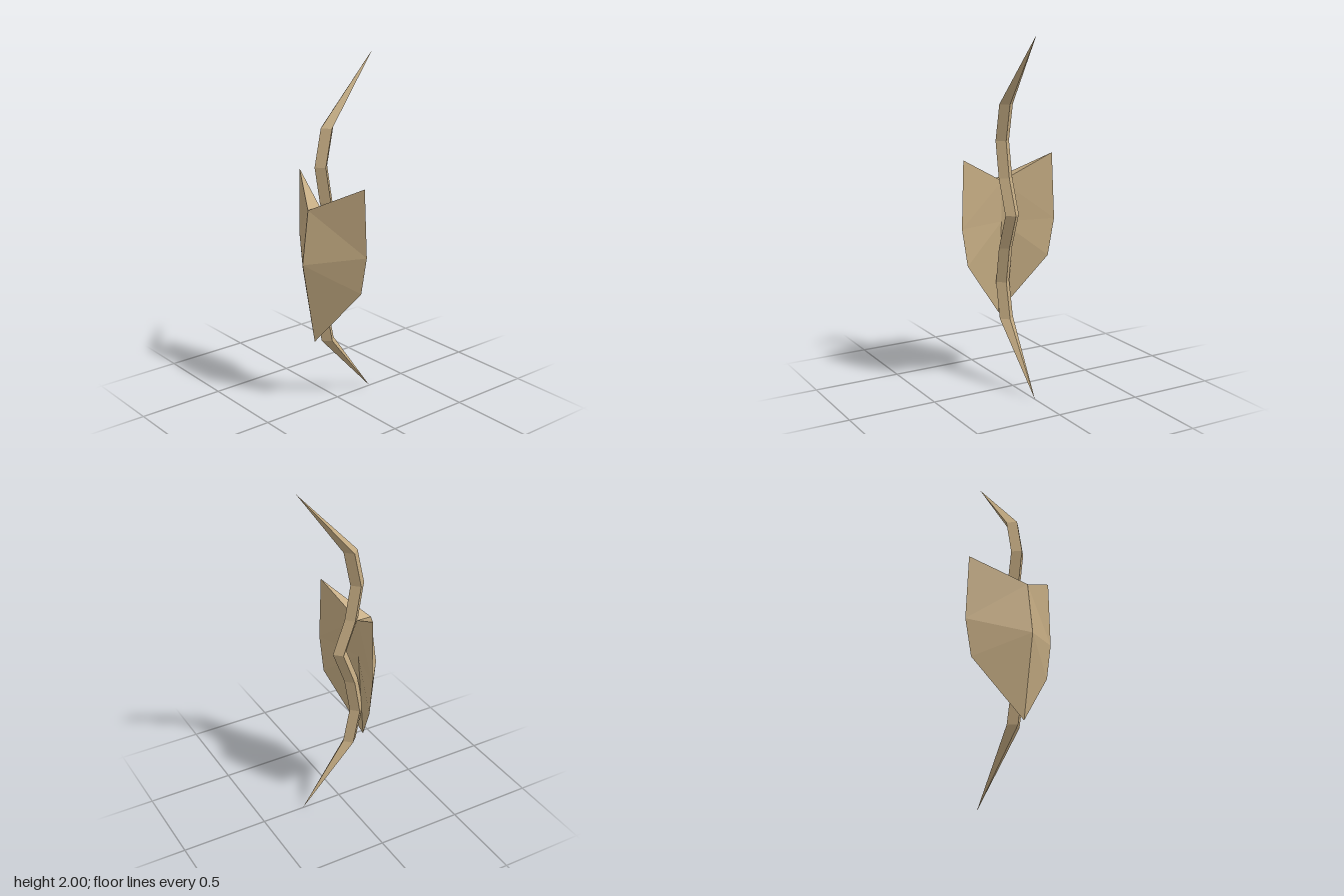
import * as THREE from 'three';

// Lofts four-cornered rings (front, left, back, right), listed from top to bottom.
function loft(rings, capTop) {
  const pos = [];
  const tri = (a, b, c) => {
    const area = new THREE.Triangle(a, b, c).getArea();
    if (area > 1e-7) for (const p of [a, b, c]) pos.push(p.x, p.y, p.z);
  };
  for (let i = 0; i < rings.length - 1; i++) {
    const a = rings[i], b = rings[i + 1];
    for (let j = 0; j < 4; j++) {
      const k = (j + 1) % 4;
      // mirror the diagonal so both halves match
      if (j % 2 === 0) {
        tri(a[j], b[j], b[k]);
        tri(a[j], b[k], a[k]);
      } else {
        tri(a[j], b[j], a[k]);
        tri(a[k], b[j], b[k]);
      }
    }
  }
  if (capTop) {
    const [f, l, b, r] = rings[0];
    tri(f, l, b);
    tri(f, b, r);
  }
  const geo = new THREE.BufferGeometry();
  geo.setAttribute('position', new THREE.Float32BufferAttribute(pos, 3));
  geo.computeVertexNormals();
  return geo;
}

const v = (x, y, z) => new THREE.Vector3(x, y, z);

export function createModel() {
  const group = new THREE.Group();
  const tan = new THREE.MeshStandardMaterial({ color: 0xc4ab82, flatShading: true });
  tan.name = 'tan';

  const add = (name, geo) => {
    const mesh = new THREE.Mesh(geo, tan);
    mesh.name = name;
    group.add(mesh);
  };

  // Recurved spine: diamond sections [y, z, radius], mirrored about y = 1
  const upper = [
    [2, -0.245, 0],
    [1.612, 0.072, 0.043],
    [1.405, 0.115, 0.043],
    [1.2, 0.08, 0.043],
  ];
  const lower = upper.map(([y, z, r]) => [2 - y, z, r]).reverse();
  const stations = [...upper, [1, 0.006, 0.043], ...lower];
  add('spine', loft(stations.map(([y, z, r]) => [
    v(0, y, z + r), v(r, y, z), v(0, y, z - r), v(-r, y, z),
  ])));

  // Keeled shield plate: front keel, sharp side edge, back keel for each ring
  const shield = [
    { front: [1.175, 0.205], side: [0.282, 1.325, 0.045], back: [1.175, 0.12] },
    { front: [0.87, 0.245], side: [0.297, 0.945, 0.04], back: [0.94, 0.127] },
    { front: [0.395, 0.165], side: [0.26, 0.73, 0.046], back: [0.395, 0.165] },
  ];
  add('shieldPlate', loft(shield.map(({ front, side: [x, y, z], back }) => [
    v(0, ...front), v(x, y, z), v(0, ...back), v(-x, y, z),
  ]), true));

  return group;
}
